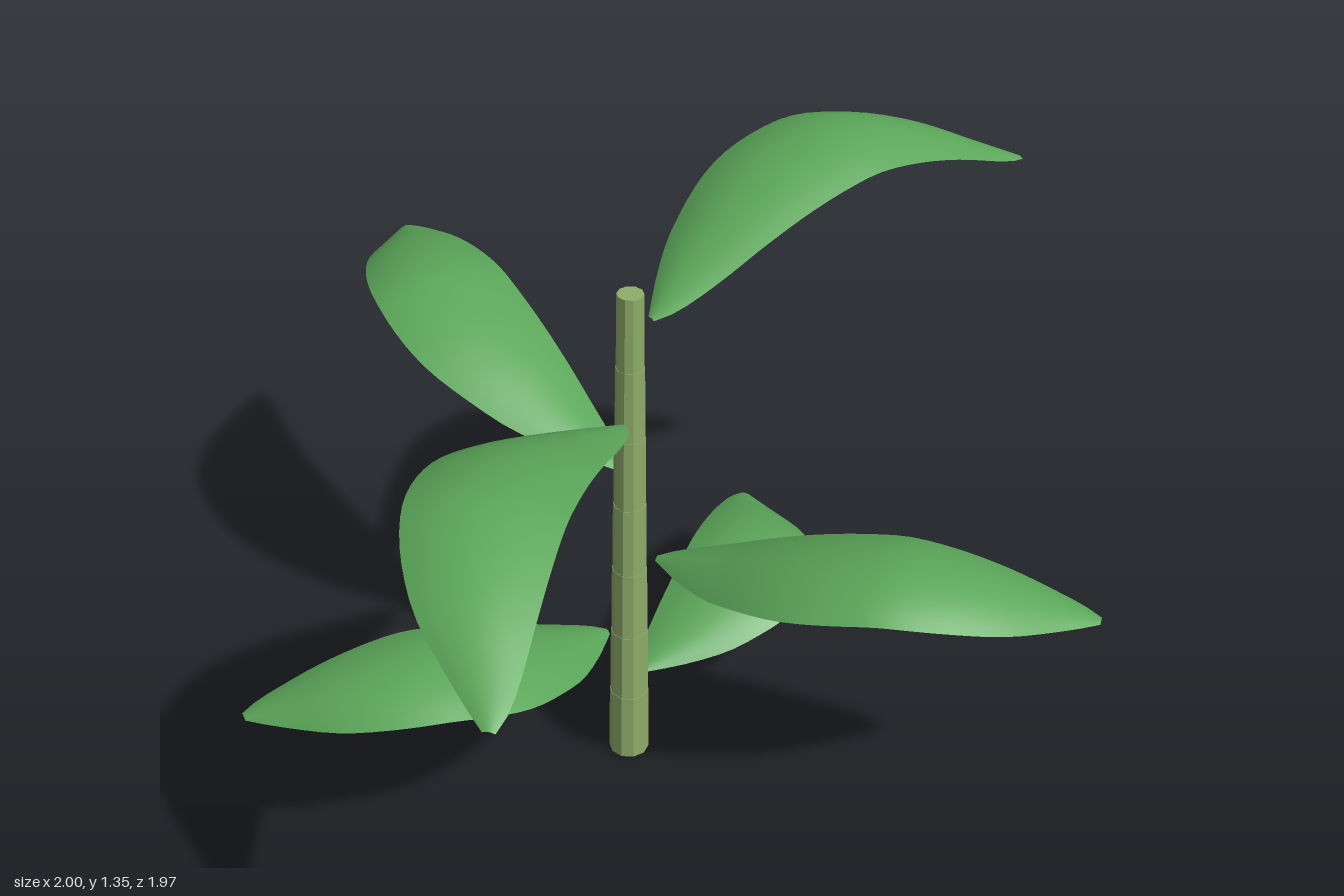
import * as THREE from 'three';

const leafGreen = new THREE.MeshStandardMaterial({ color: 0x5ca75a, side: THREE.DoubleSide });
leafGreen.name = 'leaf green';
const stemGreen = new THREE.MeshStandardMaterial({ color: 0x8fad6a, flatShading: true });
stemGreen.name = 'stem green';

const curve = (points) => new THREE.SplineCurve(points.map(([a, b]) => new THREE.Vector2(a, b)));

// Value of a sampled profile at t, linear between close spline samples
function profile(points) {
  const samples = curve(points).getPoints(120);
  return (t) => {
    let i = 1;
    while (i < samples.length - 1 && samples[i].x < t) i++;
    const a = samples[i - 1], b = samples[i];
    return THREE.MathUtils.lerp(a.y, b.y, THREE.MathUtils.clamp((t - a.x) / (b.x - a.x), 0, 1));
  };
}

// Leaf outline measured from the chord (bulging edge and straight edge), and ridge height
const bulge = profile([[0, 0.01], [0.1, 0.115], [0.2, 0.195], [0.35, 0.27], [0.5, 0.287],
  [0.65, 0.262], [0.8, 0.193], [0.92, 0.09], [1, 0.012]]);
const straight = profile([[0, -0.01], [0.1, -0.03], [0.5, -0.028], [0.9, -0.03], [1, -0.012]]);
const ridge = profile([[0, 0], [0.17, 0.083], [0.27, 0.132], [0.38, 0.175], [0.49, 0.203],
  [0.58, 0.213], [0.69, 0.197], [0.8, 0.163], [0.9, 0.117], [1, 0.07]]);

// An arched leaf from base to tip, curving sideways; side mirrors the curve
function makeLeaf(base, tip, side) {
  const dx = tip[0] - base[0], dz = tip[2] - base[2];
  const length = Math.hypot(dx, dz);
  const ux = dx / length, uz = dz / length;
  const geometry = new THREE.PlaneGeometry(1, 1, 12, 28);
  const p = geometry.attributes.position;
  for (let i = 0; i < p.count; i++) {
    const v = -2 * p.getX(i), t = p.getY(i) + 0.5;
    const middle = (bulge(t) + straight(t)) / 2;
    const half = (bulge(t) - straight(t)) / 2;
    const across = side * middle + half * v;
    const drop = 0.04 * v * v * (half / 0.157);
    p.setXYZ(i,
      base[0] + ux * length * t + uz * across,
      base[1] + ridge(t) * length + (tip[1] - base[1] - 0.07 * length) * t - drop,
      base[2] + uz * length * t - ux * across);
  }
  geometry.computeVertexNormals();
  return new THREE.Mesh(geometry, leafGreen);
}

export function createModel() {
  const model = new THREE.Group();
  model.name = 'plant';

  // Stem of seven tapering segments, each a little narrower than the one below
  const stem = new THREE.Group();
  stem.name = 'stem';
  const step = 0.175;
  for (let i = 0; i < 7; i++) {
    const radius = 0.0455 - 0.0026 * i;
    const segment = new THREE.Mesh(
      new THREE.CylinderGeometry(radius - 0.0015, radius, step, 10), stemGreen);
    segment.name = `stemSegment${i + 1}`;
    segment.position.set(-0.025, step * (i + 0.5), 0.045);
    stem.add(segment);
  }
  model.add(stem);

  // Leaves climbing the stem, one per joint: base, tip
  const leaves = [
    [[0.04, 0.175, 0.03], [0.675, 0.225, -0.17]],
    [[-0.08, 0.37, 0.03], [-0.835, 0.43, -0.32]],
    [[0, 0.565, 0.1], [0.37, 0.63, 0.98]],
    [[0, 0.755, -0.01], [0.345, 0.83, -0.985]],
    [[-0.08, 0.945, 0.07], [-0.995, 1.02, 0.555]],
    [[0.035, 1.14, 0.05], [0.995, 1.21, 0.31]],
  ];
  leaves.forEach(([base, tip], i) => {
    const leaf = makeLeaf(base, tip, i % 2 ? 1 : -1);
    leaf.name = `leaf${i + 1}`;
    model.add(leaf);
  });

  return model;
}
